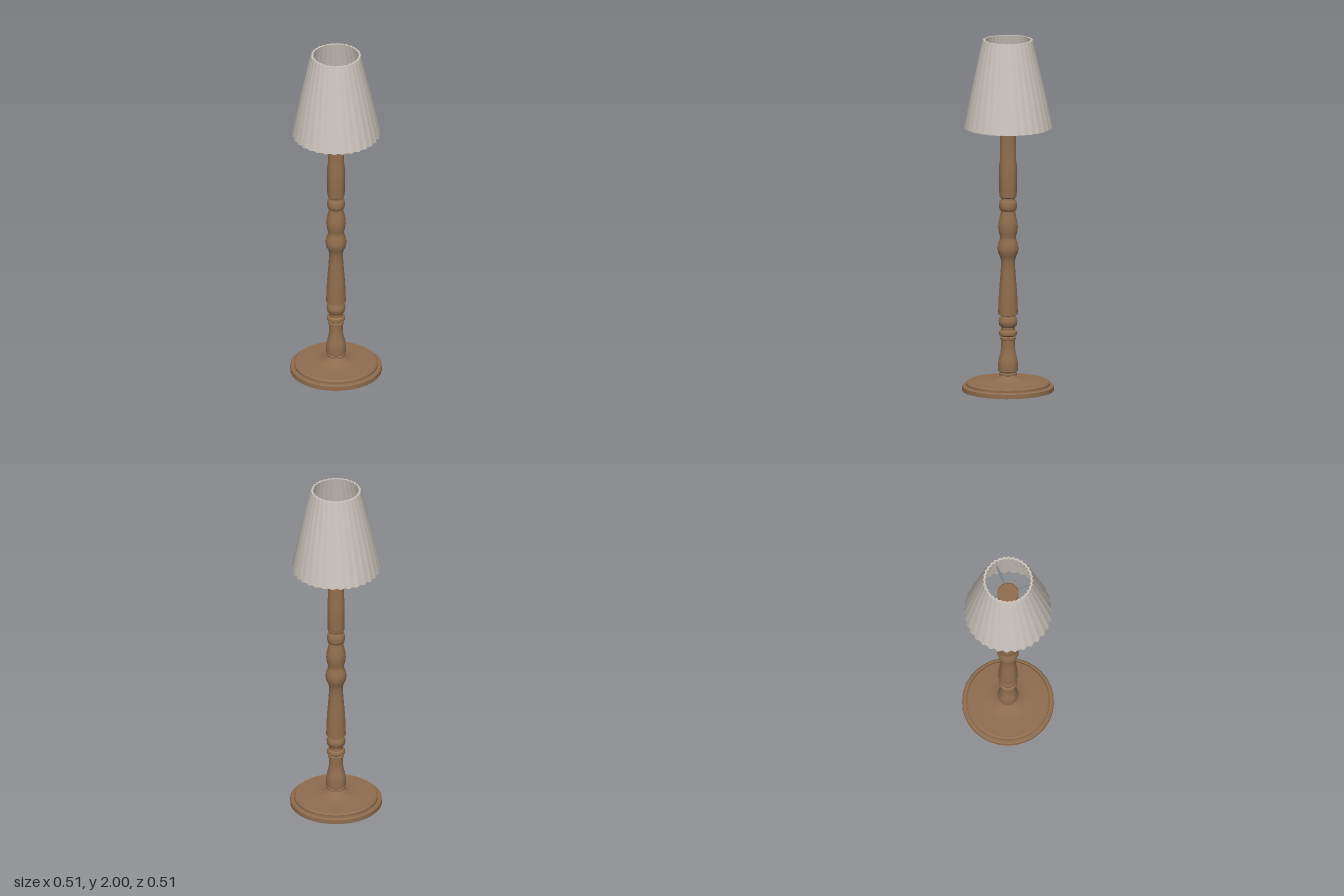
import * as THREE from 'three';
import { toCreasedNormals } from 'three/addons/utils/BufferGeometryUtils.js';

const wood = new THREE.MeshStandardMaterial({ color: 0x8f6d4f });
wood.name = 'wood';
const fabric = new THREE.MeshStandardMaterial({ color: 0xcbc3bc, side: THREE.DoubleSide });
fabric.name = 'shadeFabric';
const metal = new THREE.MeshStandardMaterial({ color: 0x7f8a92 });
metal.name = 'metal';

const points = (list) => list.map(([r, y]) => new THREE.Vector2(r, y));

function turned(name, profile) {
  const geometry = toCreasedNormals(new THREE.LatheGeometry(points(profile), 32), 0.6);
  const mesh = new THREE.Mesh(geometry, wood);
  mesh.name = name;
  return mesh;
}

// Pleated shell: a turned wall with every second column pulled inward
function pleatedShade() {
  const pleats = 32;
  const wall = points([[0.236, 1.5], [0.25, 1.5], [0.142, 2], [0.13, 2], [0.236, 1.5]]);
  const geometry = new THREE.LatheGeometry(wall, pleats * 2);
  const pos = geometry.attributes.position;
  for (let i = 0; i < pos.count; i++) {
    const column = Math.floor(i / wall.length);
    if (column % 2) pos.setXYZ(i, pos.getX(i) * 0.95, pos.getY(i), pos.getZ(i) * 0.95);
  }
  const mesh = new THREE.Mesh(toCreasedNormals(geometry, 1.2), fabric);
  mesh.name = 'pleatedShade';
  return mesh;
}

export function createModel() {
  const lamp = new THREE.Group();
  lamp.name = 'floorLamp';

  // Stepped round foot
  lamp.add(turned('base', [
    [0, 0], [0.257, 0], [0.257, 0.025], [0.25, 0.031], [0.235, 0.031], [0.235, 0.044],
    [0.226, 0.052], [0.13, 0.056], [0.085, 0.062], [0.06, 0.075], [0.047, 0.092], [0, 0.092],
  ]));

  // Turned column with rings and bulges
  lamp.add(turned('column', [
    [0.045, 0.085], [0.05, 0.09], [0.05, 0.1], [0.046, 0.105], [0.055, 0.112], [0.056, 0.15],
    [0.051, 0.185], [0.042, 0.215], [0.038, 0.25], [0.038, 0.29], [0.046, 0.295], [0.046, 0.305],
    [0.04, 0.31], [0.05, 0.318], [0.052, 0.328], [0.049, 0.338], [0.039, 0.345], [0.039, 0.362],
    [0.049, 0.373], [0.052, 0.39], [0.052, 0.402], [0.047, 0.416], [0.043, 0.422], [0.043, 0.43],
    [0.055, 0.435], [0.054, 0.5], [0.049, 0.58], [0.041, 0.68], [0.039, 0.74], [0.045, 0.765],
    [0.055, 0.785], [0.059, 0.81], [0.055, 0.838], [0.046, 0.862], [0.044, 0.875], [0.051, 0.9],
    [0.055, 0.93], [0.053, 0.96], [0.045, 0.995], [0.04, 1.025], [0.047, 1.032], [0.05, 1.045],
    [0.05, 1.065], [0.047, 1.08], [0.04, 1.09], [0.04, 1.1], [0.047, 1.106], [0.049, 1.125],
    [0.049, 1.29], [0.045, 1.31], [0.044, 1.5], [0.044, 1.74], [0.06, 1.76], [0.06, 1.795],
    [0.055, 1.8], [0, 1.8],
  ]));

  lamp.add(pleatedShade());

  // Four spokes holding the shade
  for (let i = 0; i < 4; i++) {
    const spoke = new THREE.Group();
    spoke.name = 'shadeSpoke';
    const rod = new THREE.Mesh(new THREE.CylinderGeometry(0.006, 0.006, 0.128, 10), metal);
    rod.rotation.z = Math.PI / 2;
    rod.position.set(0.114, 1.78, 0);
    spoke.rotation.y = i * Math.PI / 2;
    spoke.add(rod);
    lamp.add(spoke);
  }

  return lamp;
}
